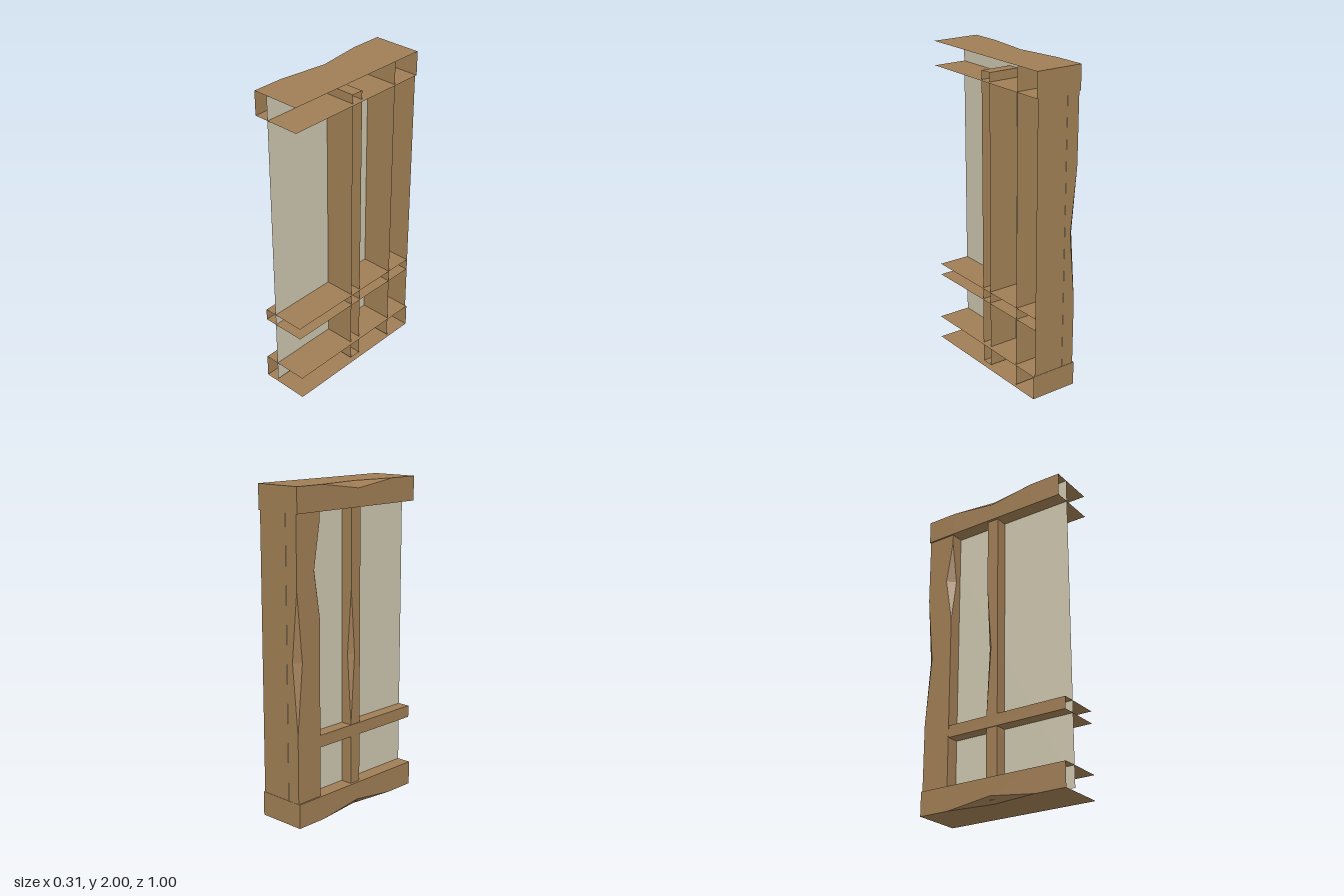
import * as THREE from 'three';

const wood = new THREE.MeshStandardMaterial({ color: 0xa07e55, flatShading: true, side: THREE.DoubleSide });
wood.name = 'wood';
const plaster = new THREE.MeshStandardMaterial({ color: 0xccc5ad, side: THREE.DoubleSide });
plaster.name = 'plaster';

// Depth of a chipped edge at position t; a notch is [start, peak, end, depth]
function chip(notch, t) {
  if (!notch) return 0;
  const [a, p, b, d] = notch;
  return d * Math.max(0, t < p ? (t - a) / (p - a) : (b - t) / (b - p));
}

// Timber shell, open towards +x, swept along y (vertical) or z.
// v is its other cross axis; low and high are the chips on its two -x edges.
function timber(name, { vertical = false, x0, x1, v, t, low, high, startCap, endCap }) {
  const stops = [...new Set([...t, ...(low || []).slice(0, 3), ...(high || []).slice(0, 3)])].sort((a, b) => a - b);
  const rings = stops.map((s) => {
    const a = chip(low, s), b = chip(high, s);
    return [[x1, v[0]], [x0 + a, v[0]], [x0, v[0] + a], [x0, v[1] - b], [x0 + b, v[1]], [x1, v[1]]]
      .map(([x, w]) => (vertical ? new THREE.Vector3(x, s, w) : new THREE.Vector3(x, w, s)));
  });
  const pos = [];
  const tri = (a, b, c) => {
    if (new THREE.Triangle(a, b, c).getArea() < 1e-7) return;
    for (const p of vertical ? [a, c, b] : [a, b, c]) pos.push(p.x, p.y, p.z);
  };
  for (let k = 0; k < rings.length - 1; k++) {
    const A = rings[k], B = rings[k + 1];
    for (let i = 0; i < 5; i++) {
      tri(A[i], B[i], B[i + 1]);
      tri(A[i], B[i + 1], A[i + 1]);
    }
  }
  const first = rings[0], last = rings[rings.length - 1];
  for (let i = 1; i < 5; i++) {
    if (startCap) tri(first[0], first[i], first[i + 1]);
    if (endCap) tri(last[0], last[i + 1], last[i]);
  }
  const geo = new THREE.BufferGeometry();
  geo.setAttribute('position', new THREE.Float32BufferAttribute(pos, 3));
  geo.computeVertexNormals();
  const mesh = new THREE.Mesh(geo, wood);
  mesh.name = name;
  return mesh;
}

export function createModel() {
  const group = new THREE.Group();
  group.name = 'timberWall';

  // Top and bottom beams, chipped along their outer edges
  const beam = { x0: -0.155, x1: 0.155, t: [-0.5, 0.5], startCap: true };
  const beamChip = [-0.3, 0, 0.3, 0.04];
  group.add(timber('topBeam', { ...beam, v: [1.85, 2], high: beamChip }));
  group.add(timber('bottomBeam', { ...beam, v: [0, 0.15], low: beamChip }));

  // Middle rail
  group.add(timber('middleRail', { x0: -0.142, x1: 0.145, v: [0.455, 0.53], t: [-0.495, 0.5] }));

  // Wide end post and narrow centre post
  group.add(timber('endPost', {
    vertical: true, x0: -0.145, x1: 0.145, v: [-0.498, -0.315], t: [0.01, 1.99],
    low: [0.57, 1.0, 1.42, 0.04], high: [1.24, 1.52, 1.79, 0.045],
  }));
  group.add(timber('centrePost', {
    vertical: true, x0: -0.138, x1: 0.137, v: [-0.042, 0.035], t: [0.02, 1.905],
    low: [0.53, 0.97, 1.37, 0.03], startCap: true, endCap: true,
  }));

  // Infill panel
  const panel = new THREE.Mesh(new THREE.PlaneGeometry(1, 1.98), plaster);
  panel.name = 'infillPanel';
  panel.rotation.y = Math.PI / 2;
  panel.position.set(-0.062, 1.01, 0);
  group.add(panel);

  return group;
}
